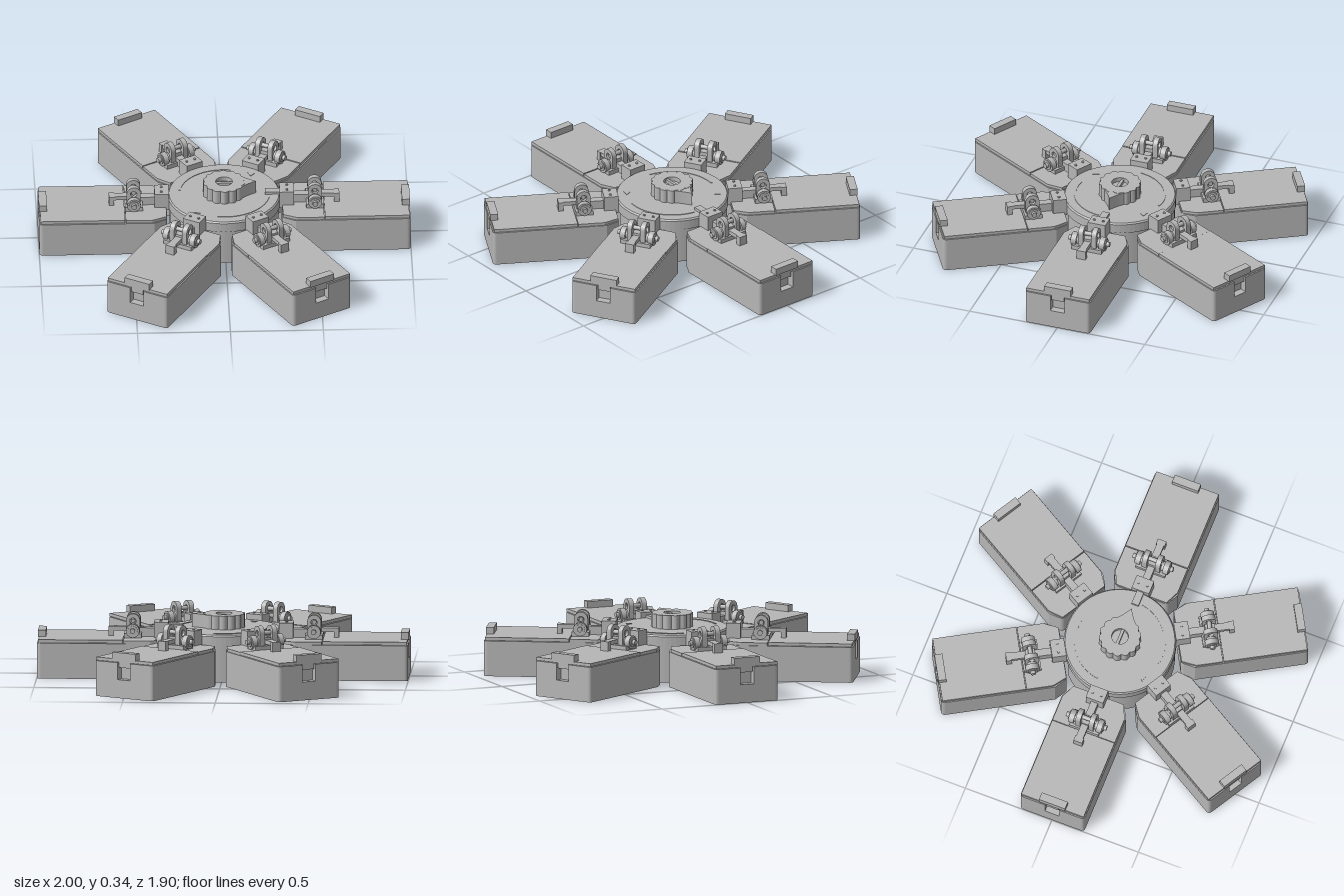
import * as THREE from 'three';

const grey = new THREE.MeshStandardMaterial({ color: 0xb6b6b6 });
grey.name = 'light grey plastic';

function add(parent, name, geometry, x = 0, y = 0, z = 0) {
  const m = new THREE.Mesh(geometry, grey);
  m.name = name;
  m.position.set(x, y, z);
  parent.add(m);
  return m;
}
const box = (p, name, x0, x1, y0, y1, w, z = 0) =>
  add(p, name, new THREE.BoxGeometry(x1 - x0, y1 - y0, w), (x0 + x1) / 2, (y0 + y1) / 2, z);

// Cylinder whose axis runs along z
function pin(p, name, r, len, x, y, z, sides = 20) {
  add(p, name, new THREE.CylinderGeometry(r, r, len, sides), x, y, z).rotation.x = Math.PI / 2;
}

// Extrude a plan outline upwards from y0 to y1
function slab(p, name, shape, y0, y1, segs = 12) {
  const g = new THREE.ExtrudeGeometry(shape, { depth: y1 - y0, bevelEnabled: false, curveSegments: segs });
  g.rotateX(-Math.PI / 2);
  return add(p, name, g, 0, y0, 0);
}

// Plan of a compartment: tapered inner end, rounded outer corners, optional finger slot
function binPlan(x0, x1, w, notch) {
  const s = new THREE.Shape(), r = 0.022;
  s.moveTo(x0, -0.13);
  s.quadraticCurveTo(x0, -0.15, x0 + 0.02, -0.158);
  s.lineTo(x0 + 0.07, -w);
  s.lineTo(x1 - r, -w);
  s.quadraticCurveTo(x1, -w, x1, -w + r);
  if (notch) {
    s.lineTo(x1, -0.04); s.lineTo(x1 - 0.04, -0.04);
    s.lineTo(x1 - 0.04, 0.04); s.lineTo(x1, 0.04);
  }
  s.lineTo(x1, w - r);
  s.quadraticCurveTo(x1, w, x1 - r, w);
  s.lineTo(x0 + 0.07, w);
  s.lineTo(x0 + 0.02, 0.158);
  s.quadraticCurveTo(x0, 0.15, x0, 0.13);
  s.closePath();
  return s;
}

// Side profile of a hinge lug with a round top and a pin hole
function lug(p, z, thick) {
  const s = new THREE.Shape();
  s.moveTo(0.45, 0.2);
  s.lineTo(0.525, 0.2);
  s.lineTo(0.525, 0.298);
  s.absarc(0.4875, 0.298, 0.0375, 0, Math.PI, false);
  s.closePath();
  const hole = new THREE.Path();
  hole.absarc(0.4875, 0.295, 0.017, 0, Math.PI * 2, true);
  s.holes.push(hole);
  const g = new THREE.ExtrudeGeometry(s, { depth: thick, bevelEnabled: false });
  add(p, 'hingeLug', g, 0, 0, z - thick / 2);
}

function createArm() {
  const arm = new THREE.Group();
  arm.name = 'compartmentArm';

  // Compartment body, with the finger slot cut in the outer end
  slab(arm, 'binLower', binPlan(0.31, 0.998, 0.185, false), 0, 0.1);
  slab(arm, 'binUpper', binPlan(0.31, 0.998, 0.185, true), 0.1, 0.192);

  // Fixed inner cover and hinged lid, divided by a fine gap
  const cover = new THREE.Shape();
  cover.moveTo(0.313, -0.145); cover.lineTo(0.39, -0.18); cover.lineTo(0.534, -0.18);
  cover.lineTo(0.534, 0.18); cover.lineTo(0.39, 0.18); cover.lineTo(0.313, 0.145);
  cover.closePath();
  slab(arm, 'innerCover', cover, 0.192, 0.208);
  box(arm, 'lid', 0.538, 0.992, 0.194, 0.211, 0.36);

  // Outer latch tab
  box(arm, 'latch', 0.955, 0.998, 0.208, 0.247, 0.15);
  box(arm, 'latchTongue', 0.97, 0.99, 0.165, 0.195, 0.07);

  // Block at the hub and the link to the hinge
  box(arm, 'hubBlock', 0.298, 0.375, 0.19, 0.29, 0.1);
  for (const z of [-0.025, 0.025]) {
    add(arm, 'blockPeg', new THREE.CylinderGeometry(0.007, 0.007, 0.008, 10), 0.338, 0.292, z);
  }
  box(arm, 'linkBar', 0.37, 0.46, 0.2, 0.255, 0.04);
  box(arm, 'hingeBase', 0.44, 0.535, 0.2, 0.232, 0.17);

  // Hinge lugs, pins and the arm reaching onto the lid
  for (const z of [-0.038, 0.038]) lug(arm, z, 0.028);
  box(arm, 'hingeKnuckle', 0.462, 0.515, 0.205, 0.275, 0.04);
  pin(arm, 'upperPin', 0.012, 0.085, 0.4875, 0.295, 0);
  pin(arm, 'hingeAxle', 0.026, 0.2, 0.4875, 0.25, 0);
  for (const s of [-1, 1]) {
    pin(arm, 'axleCollar', 0.037, 0.03, 0.4875, 0.248, s * 0.08);
    pin(arm, 'axleTip', 0.014, 0.02, 0.4875, 0.25, s * 0.106);
  }
  box(arm, 'lidLever', 0.515, 0.6, 0.24, 0.262, 0.04);
  box(arm, 'lidLeverFoot', 0.592, 0.62, 0.205, 0.262, 0.05);
  return arm;
}

export function createModel() {
  const model = new THREE.Group();
  model.name = 'sixArmDispenser';

  // Hub base with a keyed recess facing each arm and a bore in the middle
  const R = 0.295, base = new THREE.Shape();
  const half = Math.asin(0.05 / R);
  for (let i = 0; i < 6; i++) {
    const a = i * Math.PI / 3;
    const at = (x, z) => [x * Math.cos(a) - z * Math.sin(a), x * Math.sin(a) + z * Math.cos(a)];
    base[i ? 'lineTo' : 'moveTo'](...at(R * Math.cos(half), -0.05));
    base.lineTo(...at(0.262, -0.035));
    base.lineTo(...at(0.262, 0.035));
    base.lineTo(...at(R * Math.cos(half), 0.05));
    base.absarc(0, 0, R, a + half, a + Math.PI / 3 - half, false);
  }
  base.closePath();
  const bore = new THREE.Path();
  bore.absarc(0, 0, 0.04, 0, Math.PI * 2, true);
  base.holes.push(bore);
  slab(model, 'hubBase', base, 0.002, 0.205, 16);
  add(model, 'boreScrew', new THREE.CylinderGeometry(0.022, 0.022, 0.18, 20), 0, 0.105, 0);

  // Turntable disc with a fine edge chamfer
  const disc = [[0, 0.2], [0.302, 0.2], [0.302, 0.252], [0.295, 0.26], [0, 0.26]]
    .map(([x, y]) => new THREE.Vector2(x, y));
  const dg = new THREE.LatheGeometry(disc, 72).toNonIndexed();
  dg.computeVertexNormals();
  add(model, 'turntable', dg);

  // Curved direction marks with arrow tips
  for (let i = 0; i < 2; i++) {
    const mark = new THREE.Group();
    mark.name = 'directionMark';
    mark.rotation.y = i * Math.PI + 0.35;
    const arc = new THREE.Shape();
    arc.absarc(0, 0, 0.247, -2.1, -0.5, false);
    arc.absarc(0, 0, 0.237, -0.5, -2.1, true);
    slab(mark, 'markArc', arc, 0.259, 0.263, 24);
    const tip = new THREE.Shape();
    tip.moveTo(0.225, 0); tip.lineTo(0.26, 0); tip.lineTo(0.242, 0.035); tip.closePath();
    slab(mark, 'markTip', tip, 0.259, 0.263).rotation.y = 0.5;
    model.add(mark);
  }

  // Scalloped knob with a pointer towards +x and a round well in the top
  const knob = new THREE.Shape();
  const n = 144;
  for (let i = 0; i < n; i++) {
    const a = i / n * Math.PI * 2;
    const r = 0.103 + 0.011 * Math.abs(Math.sin(a * 7));
    knob[i ? 'lineTo' : 'moveTo'](r * Math.cos(a), r * Math.sin(a));
  }
  knob.closePath();
  const well = new THREE.Path();
  well.absarc(0, 0, 0.045, 0, Math.PI * 2, true);
  knob.holes.push(well);
  slab(model, 'knob', knob, 0.255, 0.335);
  const pointer = new THREE.Shape();
  pointer.moveTo(0.09, -0.06);
  pointer.quadraticCurveTo(0.125, -0.025, 0.172, 0);
  pointer.quadraticCurveTo(0.125, 0.025, 0.09, 0.06);
  pointer.closePath();
  slab(model, 'knobPointer', pointer, 0.255, 0.333);
  add(model, 'wellFloor', new THREE.CylinderGeometry(0.045, 0.045, 0.05, 32), 0, 0.285, 0);
  box(model, 'knobGrip', -0.045, 0.045, 0.3, 0.328, 0.016);

  // Fixed index tongue on the disc
  box(model, 'indexTongue', 0.22, 0.305, 0.255, 0.275, 0.04);

  // Six arms around the hub
  for (let i = 0; i < 6; i++) {
    const arm = createArm();
    arm.rotation.y = i * Math.PI / 3;
    model.add(arm);
  }
  return model;
}
